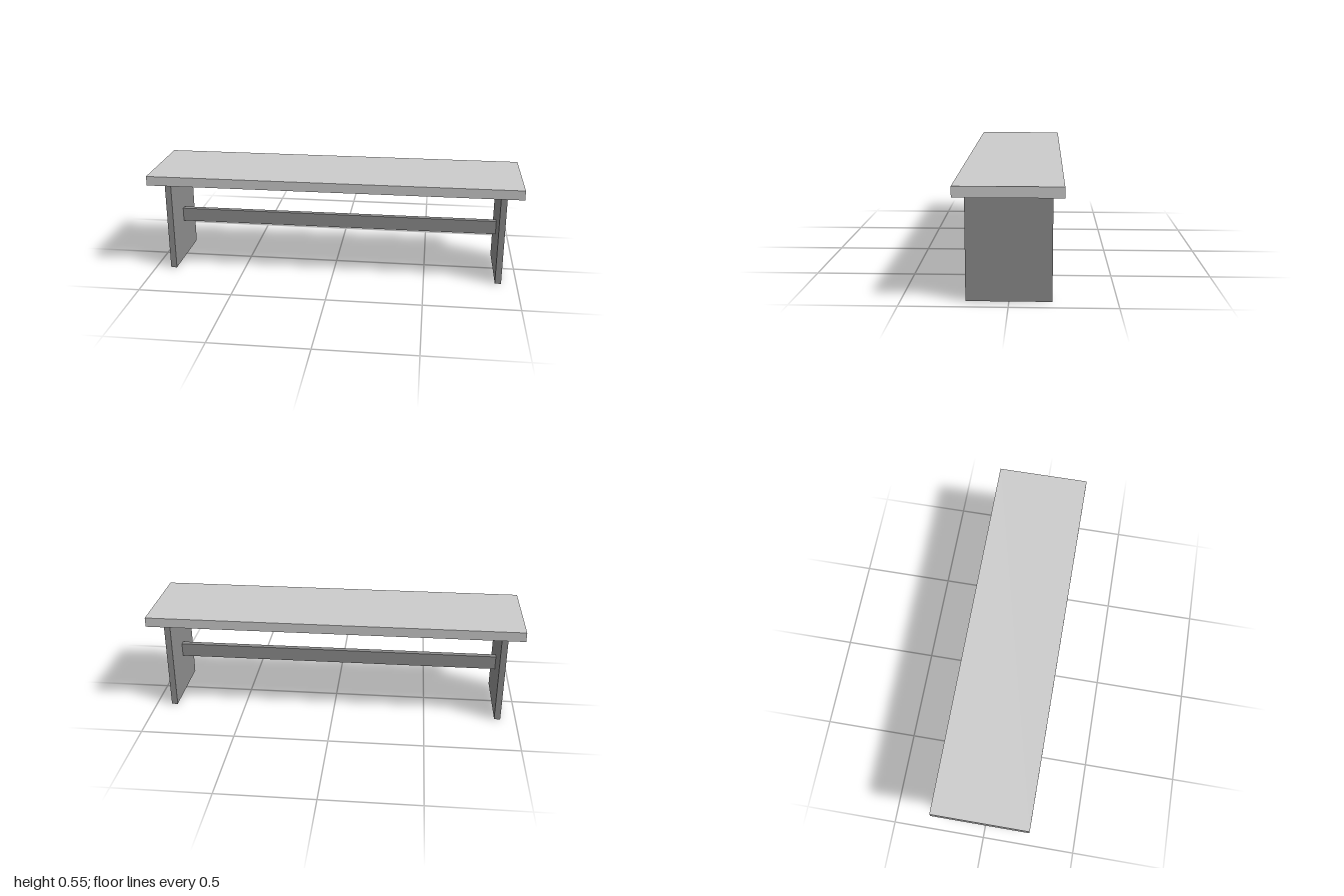
import * as THREE from 'three';

// Bench: plank seat on two panel legs joined by a stretcher
export function createModel() {
  const bench = new THREE.Group();
  bench.name = 'bench';
  const seatMaterial = new THREE.MeshStandardMaterial({ color: 0xcccccc });
  const frameMaterial = new THREE.MeshStandardMaterial({ color: 0x8c8c8c });

  // Box resting on a given height
  const addBox = (name, [w, h, d], x, bottom, material) => {
    const mesh = new THREE.Mesh(new THREE.BoxGeometry(w, h, d), material);
    mesh.name = name;
    mesh.position.set(x, bottom + h / 2, 0);
    bench.add(mesh);
  };

  const seatBottom = 0.501;
  const legX = 0.901;
  const legThickness = 0.033;

  addBox('seat', [2, 0.051, 0.5], 0, seatBottom, seatMaterial);

  // Panel legs
  for (const side of [-1, 1]) {
    addBox(side > 0 ? 'leftLeg' : 'rightLeg', [legThickness, seatBottom, 0.4], side * legX, 0, frameMaterial);
  }

  // Stretcher between the inner faces of the legs
  addBox('stretcher', [2 * legX - legThickness, 0.075, 0.03], 0, 0.213, frameMaterial);

  return bench;
}
